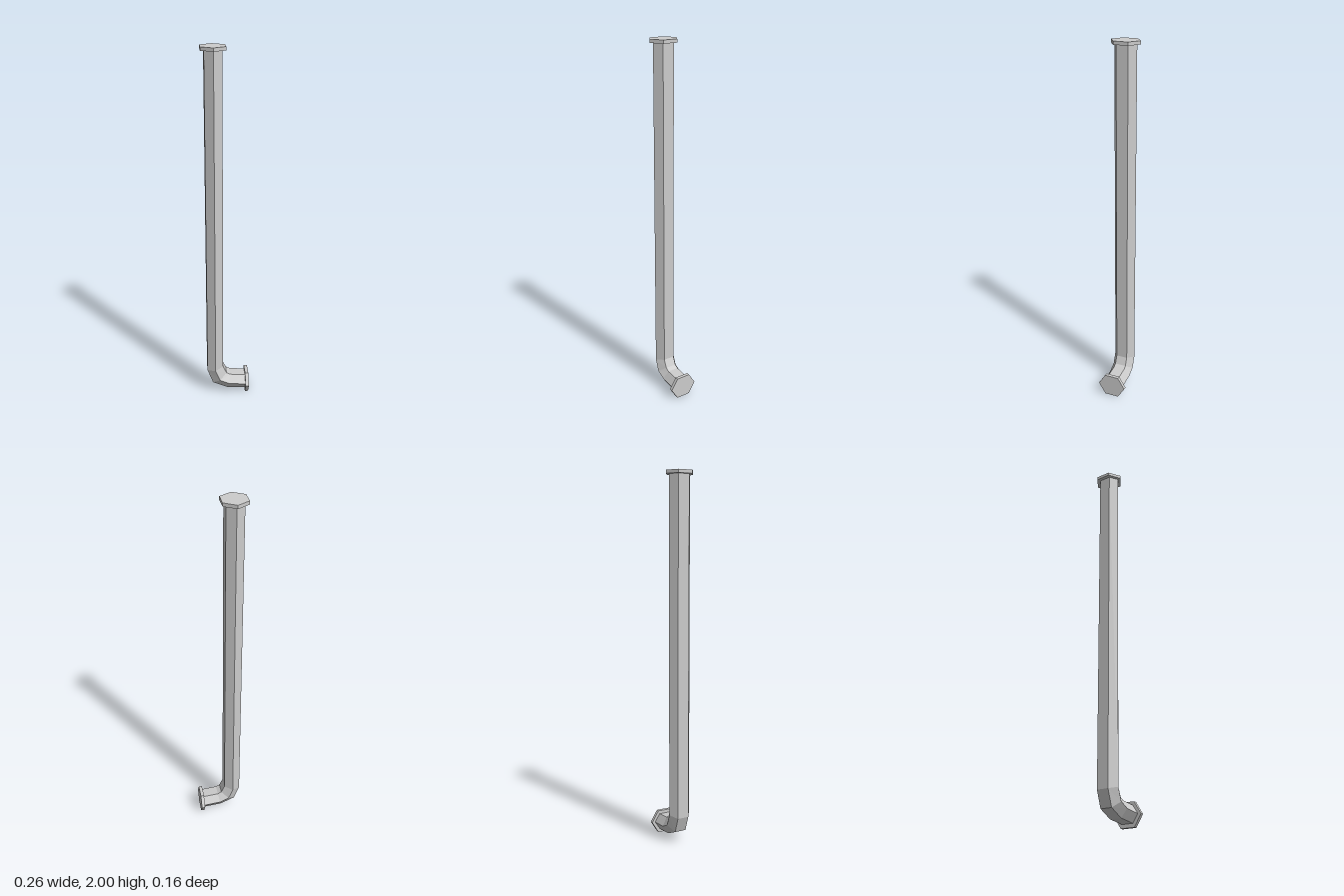
import * as THREE from 'three';

const material = new THREE.MeshStandardMaterial({ color: 0xcccccc, flatShading: true });

// Slightly flattened hexagonal plate with its points along z
function flange(name, thickness) {
  const geometry = new THREE.CylinderGeometry(0.08, 0.08, thickness, 6);
  geometry.scale(0.917, 1, 1);
  const mesh = new THREE.Mesh(geometry, material);
  mesh.name = name;
  return mesh;
}

// Six-sided pipe lofted through rings given by their inner and outer bend points
function pipe(rings) {
  const positions = [];
  const index = [];
  for (const [ix, iy, ox, oy] of rings) {
    const mx = (ix + ox) / 2, my = (iy + oy) / 2;
    positions.push(
      ix, iy, 0.032, mx, my, 0.0615, ox, oy, 0.032,
      ox, oy, -0.032, mx, my, -0.0615, ix, iy, -0.032);
  }
  for (let i = 0; i < rings.length - 1; i++) {
    for (let j = 0; j < 6; j++) {
      const a = i * 6 + j, b = i * 6 + (j + 1) % 6;
      index.push(a, b, a + 6, b, b + 6, a + 6);
    }
  }
  const geometry = new THREE.BufferGeometry();
  geometry.setAttribute('position', new THREE.Float32BufferAttribute(positions, 3));
  geometry.setIndex(index);
  const flat = geometry.toNonIndexed();
  flat.computeVertexNormals();
  const mesh = new THREE.Mesh(flat, material);
  mesh.name = 'pipe';
  return mesh;
}

export function createModel() {
  const group = new THREE.Group();
  group.name = 'bentPipe';

  // Long upright run, elbow and short outlet: inner x, y then outer x, y
  group.add(pipe([
    [-0.02, 1.99, -0.111, 1.99],
    [-0.02, 0.175, -0.111, 0.153],
    [0.0, 0.13, -0.079, 0.067],
    [0.022, 0.118, 0.003, 0.03],
    [0.115, 0.109, 0.115, 0.02],
  ]));

  // End plates
  const top = flange('topFlange', 0.018);
  top.position.set(-0.066, 1.991, 0);
  const outlet = flange('outletFlange', 0.019);
  outlet.rotation.z = -Math.PI / 2;
  outlet.position.set(0.1185, 0.064, 0);
  group.add(top, outlet);

  return group;
}
